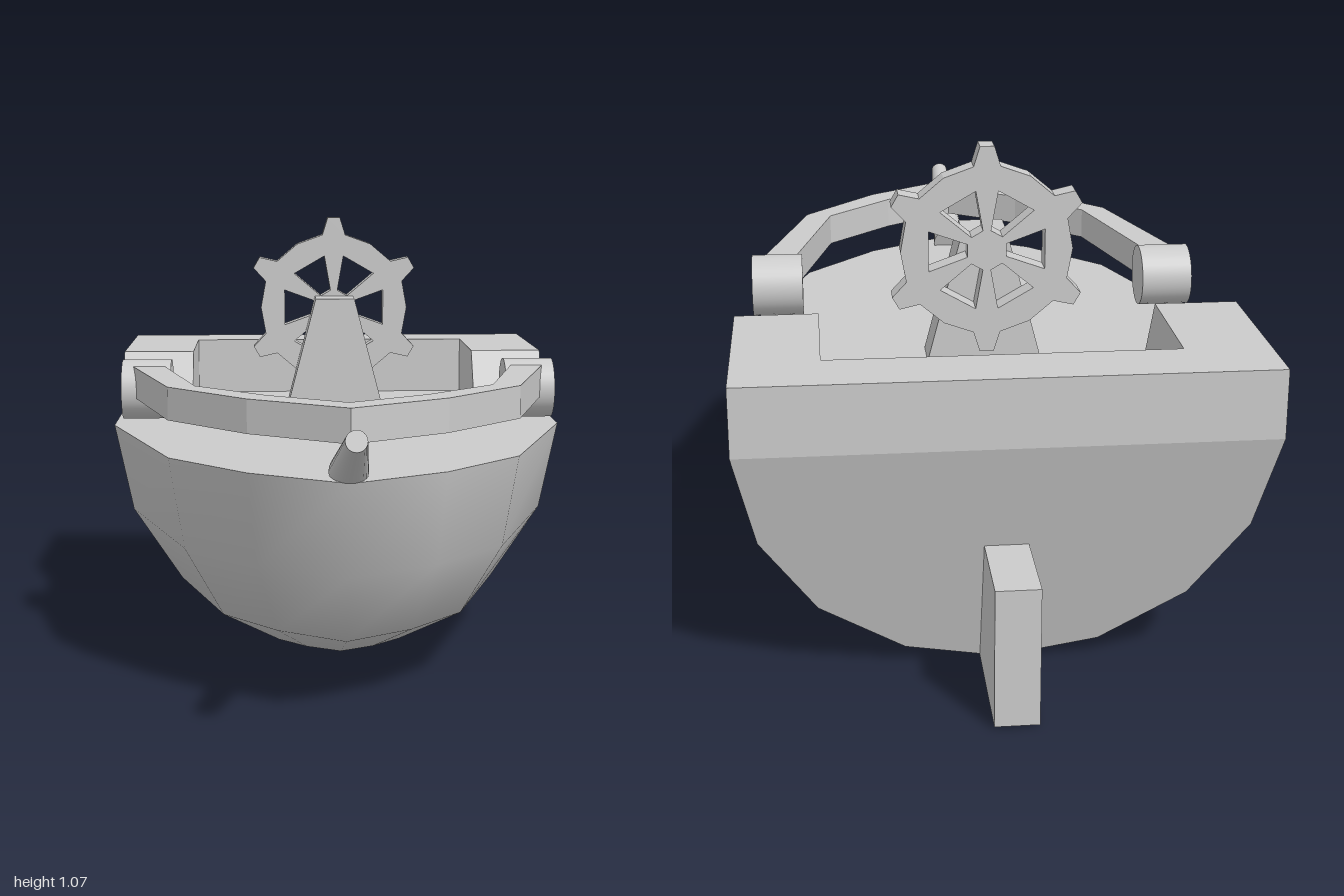
import * as THREE from 'three';

const smooth = new THREE.MeshStandardMaterial({ color: 0xcccccc, side: THREE.DoubleSide });
const flat = new THREE.MeshStandardMaterial({ color: 0xcccccc, flatShading: true, side: THREE.DoubleSide });

const DECK = 0.56, STERN = -0.865, MID = -0.09;

// Hull levels from deck to keel: half width, height, bow reach
const LEVELS = [
  [0.56, DECK, 0.725], [0.515, 0.345, 0.67], [0.395, 0.165, 0.52], [0.21, 0.045, 0.18], [0, 0.005, MID],
];
// Half outline of the bow at deck height (x, z)
const BOW = [[0.56, MID], [0.395, 0.4], [0.215, 0.595], [0, 0.725]];

const mirrored = (half) => [...half, ...half.slice(0, -1).reverse().map(([x, ...r]) => [-x, ...r])];
const shapeOf = (pts) => new THREE.Shape(pts.map(([x, y]) => new THREE.Vector2(x, y)));
const sternZ = (y) => STERN + (0.16 * Math.max(0, DECK - y)) / 0.555;

function add(group, name, geometry, material = flat) {
  const mesh = new THREE.Mesh(geometry, material);
  mesh.name = name;
  group.add(mesh);
  return mesh;
}

function extrude(pts, depth, holes = []) {
  const shape = shapeOf(pts);
  shape.holes = holes.map((h) => new THREE.Path(h.map(([x, y]) => new THREE.Vector2(x, y))));
  return new THREE.ExtrudeGeometry(shape, { depth, bevelEnabled: false });
}

// Surface through equal-length rows of points
function skin(rows) {
  const n = rows[0].length, index = [];
  for (let r = 0; r < rows.length - 1; r++) {
    for (let j = 0; j < n - 1; j++) {
      const a = r * n + j, b = a + n, c = b + 1, d = a + 1;
      index.push(a, d, c, a, c, b);
    }
  }
  const g = new THREE.BufferGeometry();
  g.setAttribute('position', new THREE.Float32BufferAttribute(rows.flat(2), 3));
  g.setIndex(index);
  g.computeVertexNormals();
  return g;
}

function buildHull() {
  const hull = new THREE.Group();
  hull.name = 'hull';

  // Rounded bow: the deck outline shrinks from level to level
  add(hull, 'bow', skin(LEVELS.map(([w, y, reach]) => mirrored(BOW).map(([x, z]) =>
    [(x / 0.56) * w, y, MID + ((z - MID) / (0.725 - MID)) * (reach - MID)]))), smooth);

  // Faceted aft sides and raked transom
  const section = mirrored(LEVELS.map(([w, y]) => [w, y]));
  add(hull, 'aftSides', skin([
    section.map(([x, y]) => [x, y, MID]),
    section.map(([x, y]) => [x, y, sternZ(y)]),
  ]));
  const transom = new THREE.ShapeGeometry(shapeOf(section));
  const p = transom.attributes.position;
  for (let i = 0; i < p.count; i++) p.setZ(i, sternZ(p.getY(i)));
  transom.computeVertexNormals();
  add(hull, 'transom', transom);

  // Deck
  const deck = new THREE.ShapeGeometry(shapeOf([[0.56, STERN], ...mirrored(BOW), [-0.56, STERN]]));
  add(hull, 'deck', deck.rotateX(Math.PI / 2).translate(0, DECK, 0));

  // Raised stern walls, sloped at their front ends
  const side = [[STERN, DECK], [-0.32, DECK], [-0.415, 0.71], [STERN, 0.71]];
  for (const right of [0.56, -0.375]) {
    add(hull, 'sideWall', extrude(side, 0.185).rotateY(-Math.PI / 2).translate(right, 0, 0));
  }
  add(hull, 'sternWall', new THREE.BoxGeometry(0.75, 0.15, 0.145).translate(0, 0.635, -0.7925));
  return hull;
}

function buildWheel() {
  const R = 0.235, outline = [], holes = [];
  // Point at radius r along angle a, offset sideways by t
  const at = (a, r, t) => [r * Math.cos(a) - t * Math.sin(a), r * Math.sin(a) + t * Math.cos(a)];
  for (let i = 0; i < 6; i++) {
    const a = Math.PI / 6 + (i * Math.PI) / 3, next = a + Math.PI / 3;
    outline.push(at(a, 0.19, -0.03), at(a, R, -0.016), at(a, R, 0.016), at(a, 0.19, 0.03),
      at(a + Math.PI / 6, 0.192, 0));
    holes.push([at(a, 0.045, 0.009), at(a, 0.135, 0.025), at(next, 0.135, -0.025), at(next, 0.045, -0.009)]);
  }
  return extrude(outline, 0.053, holes);
}

export function createModel() {
  const boat = new THREE.Group();
  boat.name = 'boat';
  boat.add(buildHull());

  // Steering wheel on its tapered stand
  add(boat, 'steeringWheel', buildWheel()).position.set(0, 0.835, -0.384);
  add(boat, 'wheelStand', extrude(
    [[-0.13, DECK], [0.13, DECK], [0.05, 0.865], [-0.05, 0.865]], 0.1)).position.z = -0.331;

  // Bow rail
  const outer = mirrored([[0.508, -0.01], [0.395, 0.4], [0.215, 0.6], [0, 0.745]]);
  const inner = mirrored([[0.43, -0.01], [0.335, 0.38], [0.175, 0.54], [0, 0.66]]).reverse();
  add(boat, 'bowRail', extrude([...outer, ...inner], 0.075).rotateX(Math.PI / 2).translate(0, 0.72, 0));

  // Rollers at the rail ends
  for (const s of [1, -1]) {
    add(boat, 'railEnd', new THREE.CylinderGeometry(0.073, 0.073, 0.12, 32)
      .rotateZ(Math.PI / 2).translate(s * 0.47, 0.66, -0.027), smooth);
  }

  // Bowsprit
  const from = new THREE.Vector3(0, 0.568, 0.63), to = new THREE.Vector3(0, 0.692, 0.993);
  const sprit = add(boat, 'bowsprit',
    new THREE.CylinderGeometry(0.022, 0.043, from.distanceTo(to), 24), smooth);
  sprit.position.copy(from).lerp(to, 0.5);
  sprit.quaternion.setFromUnitVectors(new THREE.Vector3(0, 1, 0), to.clone().sub(from).normalize());

  // Rudder
  add(boat, 'rudder', new THREE.BoxGeometry(0.094, 0.305, 0.3).translate(0, 0.1625, -0.85));
  return boat;
}
